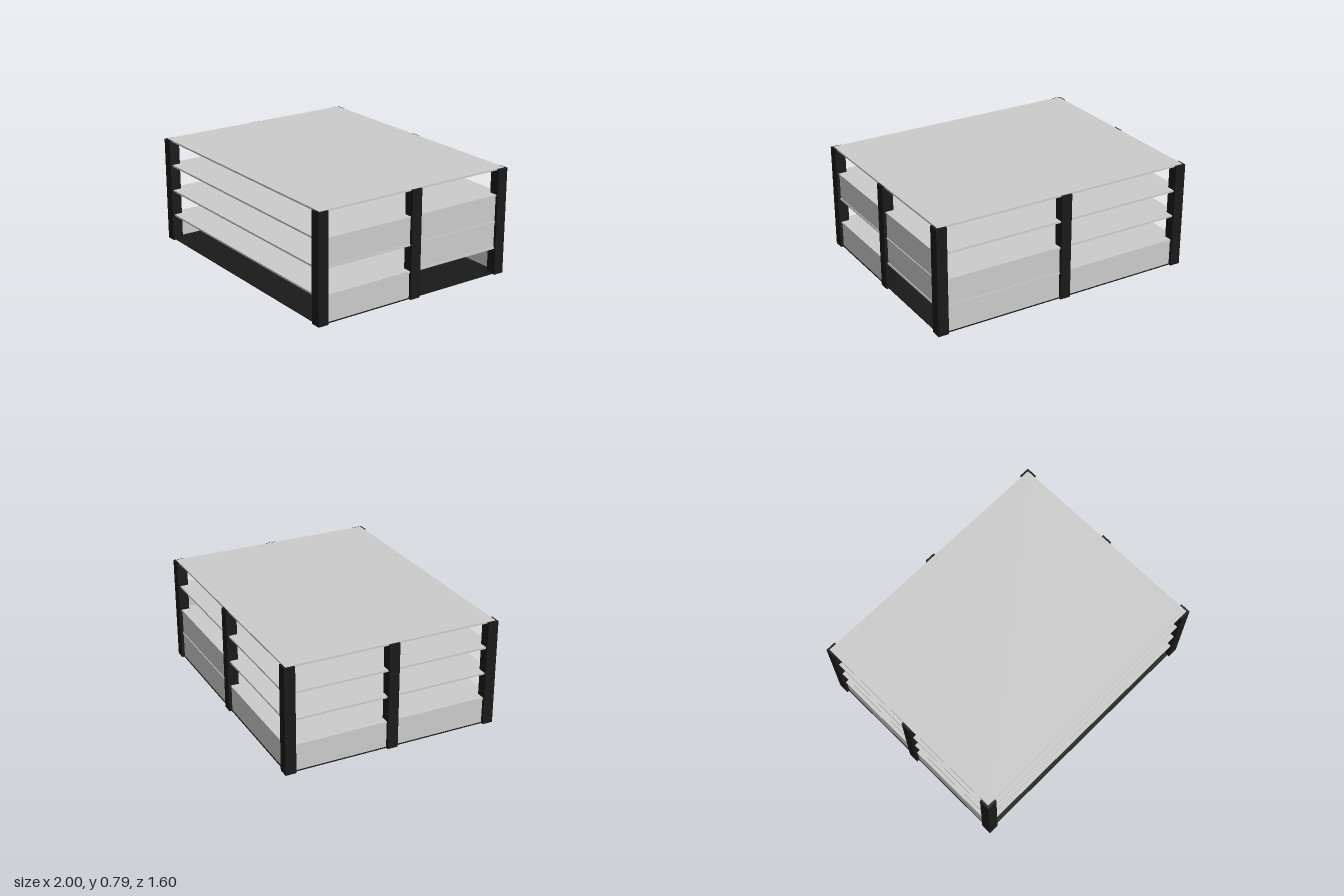
import * as THREE from 'three';

const HX = 1, HZ = 0.8;        // half footprint
const POST = 0.078;            // square post section
const POST_H = 0.786;
const SHELF_T = 0.013;
const LIP = 0.016;             // shelves sit this far inside the post faces
const RECESS = 0.022;          // panels sit a little deeper than the shelf edge
const PANEL_T = 0.01;
const LEVELS = [0.005, 0.199, 0.394, 0.591, 0.784]; // floor and shelf heights

export function createModel() {
  const model = new THREE.Group();
  const grey = new THREE.MeshStandardMaterial({ color: 0xcccccc });
  const black = new THREE.MeshStandardMaterial({ color: 0x1a1a1a });

  function box(name, size, pos, material) {
    const mesh = new THREE.Mesh(new THREE.BoxGeometry(...size), material);
    mesh.name = name;
    mesh.position.set(...pos);
    model.add(mesh);
  }

  // Posts: four corners plus the middle of the back and both sides
  const px = HX - POST / 2, pz = HZ - POST / 2;
  for (const x of [-px, 0, px]) {
    for (const z of [-pz, 0, pz]) {
      if (x === 0 && z >= 0) continue; // open front and centre
      const name = x !== 0 && z !== 0 ? 'cornerPost' : 'middlePost';
      box(name, [POST, POST_H, POST], [x, POST_H / 2, z], black);
    }
  }

  // Dark floor, three shelves and the top board
  LEVELS.forEach((y, i) => {
    const name = i === 0 ? 'floor' : i === 4 ? 'topBoard' : 'shelf';
    const t = i === 0 ? 0.006 : SHELF_T;
    box(name, [2 * (HX - LIP), t, 2 * (HZ - LIP)], [0, y, 0], i === 0 ? black : grey);
  });

  // Infill panels fill one bay between two levels; side is -1 or 1 across the bay's wall
  function panel(wall, half, level) {
    const y0 = LEVELS[level], y1 = LEVELS[level + 1];
    const h = y1 - y0, y = (y0 + y1) / 2;
    const inset = RECESS + PANEL_T / 2;
    if (wall === 'back') {
      box('backPanel', [px, h, PANEL_T], [half * px / 2, y, -HZ + inset], grey);
    } else {
      const s = wall === 'left' ? 1 : -1;
      box(wall + 'Panel', [PANEL_T, h, pz], [s * (HX - inset), y, half * pz / 2], grey);
    }
  }

  // [wall, half of the wall, filled levels]
  const infill = [
    ['back', 1, [0, 1]], ['back', -1, [0]],
    ['left', 1, [0, 2]], ['left', -1, [1, 2]],
    ['right', 1, [0]], ['right', -1, [0]],
  ];
  for (const [wall, half, levels] of infill) levels.forEach((l) => panel(wall, half, l));

  return model;
}
